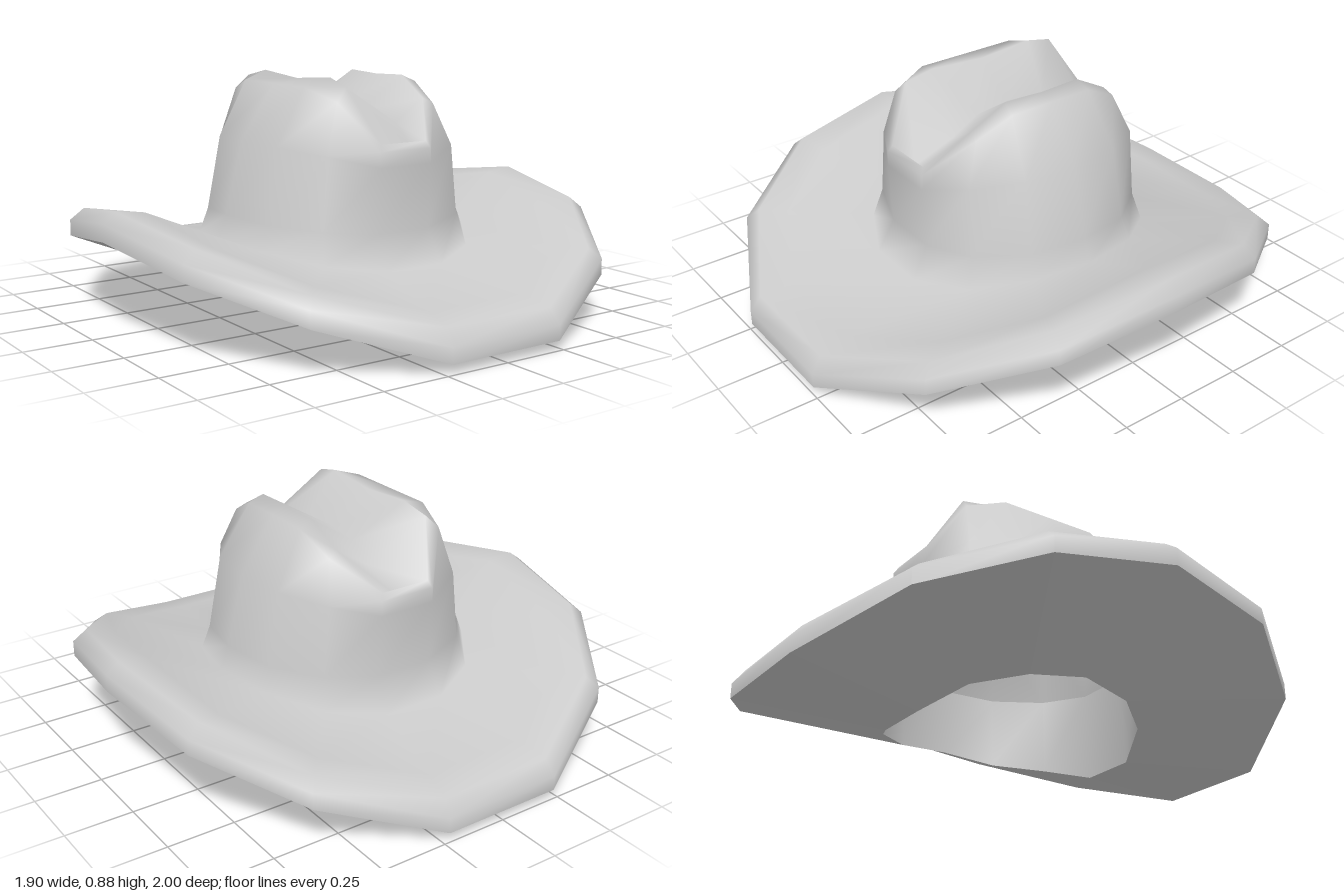
import * as THREE from 'three';
import { mergeVertices } from 'three/addons/utils/BufferGeometryUtils.js';

// A ring has 14 points: four on the right quarter, four on the left, then both mirrored in z.
function ring(right, left = right.map(([x, y, z]) => [-x, y, z])) {
  const back = ([x, y, z]) => [x, y, -z];
  return [...right, ...[...left].reverse(), ...left.slice(1).map(back),
    ...right.slice(1).reverse().map(back)];
}

// Skin between consecutive rings, with shared normals; each band holds 14 quads.
function loft(rings) {
  const n = 14, index = [];
  for (let i = 0; i < rings.length - 1; i++) {
    for (let k = 0; k < n; k++) {
      const a = i * n + k, b = i * n + (k + 1) % n;
      index.push(a, a + n, b, b, a + n, b + n);
    }
  }
  let geo = new THREE.BufferGeometry();
  geo.setAttribute('position', new THREE.Float32BufferAttribute(rings.flat(2), 3));
  geo.setIndex(index);
  geo = mergeVertices(geo);
  geo.computeVertexNormals();
  return geo;
}

// Cut a run of bands out of a skin while keeping its smooth normals.
function bands(geo, from, to) {
  const part = geo.clone();
  part.setIndex(Array.from(geo.index.array).slice(from * 84, to * 84));
  return part;
}

export function createModel() {
  const group = new THREE.Group();
  const smooth = new THREE.MeshStandardMaterial({ color: 0xcccccc, side: THREE.DoubleSide });
  const flat = smooth.clone();
  flat.flatShading = true;
  const add = (name, geo, material) => {
    const mesh = new THREE.Mesh(geo, material);
    mesh.name = name;
    group.add(mesh);
  };

  // Brim rings, curled up at the sides and dipping at front and back
  const hole = ring([[0.46, 0.115, 0], [0.42, 0.09, 0.21], [0.29, 0.06, 0.37], [0.11, 0, 0.46]]);
  const edgeLow = ring([[0.95, 0.335, 0], [0.88, 0.275, 0.445], [0.63, 0.165, 0.8], [0.23, 0.035, 1]]);
  const edgeHigh = ring([[0.95, 0.4, 0], [0.88, 0.335, 0.445], [0.63, 0.225, 0.8], [0.23, 0.09, 1]]);
  const lip = ring([[0.9, 0.437, 0], [0.83, 0.377, 0.43], [0.6, 0.262, 0.76], [0.22, 0.145, 0.96]]);
  const brimMid = ring([[0.79, 0.423, 0], [0.73, 0.355, 0.39], [0.53, 0.26, 0.67], [0.2, 0.165, 0.84]]);
  const base = ring([[0.5, 0.295, 0], [0.45, 0.28, 0.23], [0.32, 0.245, 0.41], [0.12, 0.22, 0.51]]);

  // Crown rings, up to two uneven ridges and a pinched valley
  const wall = ring([[0.467, 0.38, 0], [0.425, 0.37, 0.21], [0.3, 0.36, 0.375], [0.11, 0.34, 0.445]]);
  const wallTop = ring([[0.4, 0.64, 0], [0.375, 0.64, 0.2], [0.275, 0.62, 0.37], [0.11, 0.575, 0.457]]);
  const shoulder = ring(
    [[0.265, 0.845, 0], [0.26, 0.84, 0.17], [0.235, 0.77, 0.31], [0.11, 0.63, 0.455]],
    [[-0.26, 0.845, 0], [-0.26, 0.845, 0.2], [-0.22, 0.8, 0.345], [-0.11, 0.63, 0.455]]);
  const ridge = ring(
    [[0.205, 0.86, 0], [0.205, 0.866, 0.16], [0.195, 0.79, 0.3], [0.1, 0.655, 0.44]],
    [[-0.16, 0.86, 0], [-0.16, 0.876, 0.22], [-0.17, 0.85, 0.33], [-0.1, 0.655, 0.44]]);
  const floor = [[0, 0.745, 0], [0.02, 0.742, 0.15], [0.07, 0.71, 0.3], [0.04, 0.635, 0.435]];
  const valley = ring(floor, floor);

  const skin = loft([edgeLow, edgeHigh, lip, brimMid, base, wall, wallTop, shoulder, ridge, valley]);
  add('brim', bands(skin, 0, 4), smooth);
  add('crown', bands(skin, 4, 9), smooth);

  // Flat underside and the band lining the head opening
  add('brimUnderside', loft([hole, edgeLow]), flat);
  add('innerBand', loft([wall, hole]), smooth);
  return group;
}
